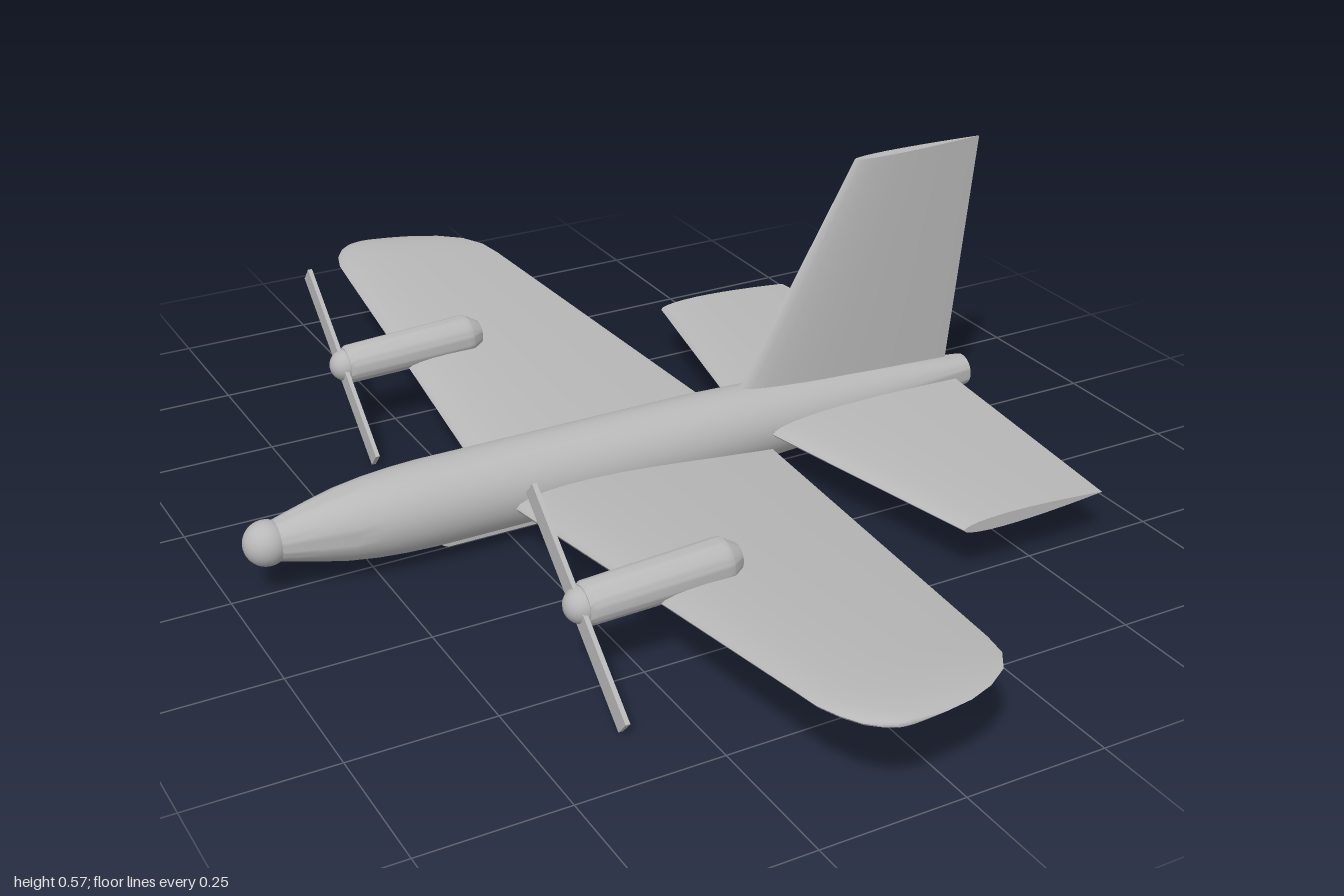
import * as THREE from 'three';
import { toCreasedNormals } from 'three/addons/utils/BufferGeometryUtils.js';

const grey = new THREE.MeshStandardMaterial({ color: 0xb8b8b8 });
grey.name = 'plain grey';

function part(geometry, name) {
  const mesh = new THREE.Mesh(geometry, grey);
  mesh.name = name;
  return mesh;
}

// Turned body along +x from [x, radius] pairs
function turned(points) {
  const geo = new THREE.LatheGeometry(points.map(([x, r]) => new THREE.Vector2(r, x)), 40);
  return toCreasedNormals(geo.rotateZ(-Math.PI / 2), 0.5);
}

// Aerofoil surface lofted along z; sections are [span, xLead, xTrail, yLead, yTrail, thickness]
function aerofoil(sections, side = 1) {
  const half = 14, ring = half * 2, pos = [], idx = [];
  const tri = (a, b, c) => (side > 0 ? idx.push(a, b, c) : idx.push(a, c, b));
  for (const [s, x0, x1, y0, y1, thick] of sections) {
    for (let j = 0; j < ring; j++) {
      const a = (j / half) * Math.PI;
      const u = (1 + Math.cos(a)) / 2;
      const t = 5 * (0.2969 * Math.sqrt(u) - 0.126 * u - 0.3516 * u * u + 0.2843 * u ** 3 - 0.1036 * u ** 4);
      pos.push(x0 + (x1 - x0) * u, y0 + (y1 - y0) * u + (j < half ? 1 : -1) * t * thick, s * side);
    }
  }
  for (let i = 0; i < sections.length - 1; i++) {
    for (let j = 0; j < ring; j++) {
      const k = (j + 1) % ring, a = i * ring, b = a + ring;
      tri(a + j, a + k, b + j);
      tri(a + k, b + k, b + j);
    }
  }
  // Flat cap at the tip
  const last = (sections.length - 1) * ring;
  for (let j = 1; j < ring - 1; j++) tri(last, last + j, last + j + 1);
  const geo = new THREE.BufferGeometry();
  geo.setAttribute('position', new THREE.Float32BufferAttribute(pos, 3));
  geo.setIndex(idx);
  return toCreasedNormals(geo, 0.9);
}

function createEngine(side) {
  const engine = new THREE.Group();
  engine.name = side > 0 ? 'leftEngine' : 'rightEngine';
  engine.position.set(-0.35, 0.148, side * 0.484);

  // Nacelle with a tapered rear end
  const nacelle = part(turned([
    [0, 0], [0, 0.032], [0.008, 0.036], [0.24, 0.039], [0.25, 0.038], [0.274, 0.022], [0.274, 0],
  ]), 'nacelle');
  nacelle.rotation.z = 0.035;
  engine.add(nacelle);

  const hub = part(new THREE.SphereGeometry(0.03, 24, 16), 'propellerHub');
  engine.add(hub);

  // Two-bladed propeller
  const blades = part(new THREE.BoxGeometry(0.008, 0.035, 0.4), 'propeller');
  blades.position.x = -0.008;
  blades.rotation.x = 0.71;
  engine.add(blades);
  return engine;
}

export function createModel() {
  const model = new THREE.Group();
  model.name = 'aeroplane';

  // Fuselage and nose ball
  const fuselage = part(turned([
    [-0.67, 0], [-0.67, 0.034], [-0.64, 0.042], [-0.6, 0.052], [-0.55, 0.063], [-0.5, 0.07],
    [-0.45, 0.074], [-0.4, 0.076], [0, 0.076], [0.12, 0.076], [0.22, 0.073], [0.32, 0.068],
    [0.45, 0.058], [0.58, 0.045], [0.717, 0.03], [0.717, 0],
  ]), 'fuselage');
  fuselage.position.y = 0.101;
  const nose = part(new THREE.SphereGeometry(0.039, 32, 20), 'noseBall');
  nose.position.set(-0.683, 0.101, 0);
  model.add(fuselage, nose);

  // Wings with dihedral and rounded tips
  const wing = [
    [0, -0.271, 0.262, 0.083, 0.066, 0.056],
    [0.45, -0.234, 0.196, 0.125, 0.109, 0.043],
    [0.85, -0.202, 0.137, 0.161, 0.148, 0.031],
    [0.9, -0.197, 0.125, 0.164, 0.153, 0.029],
    [0.94, -0.185, 0.097, 0.167, 0.157, 0.026],
    [0.97, -0.167, 0.052, 0.167, 0.16, 0.021],
    [0.988, -0.147, 0.005, 0.167, 0.162, 0.015],
    [0.997, -0.128, -0.045, 0.166, 0.164, 0.009],
    [1, -0.11, -0.085, 0.165, 0.165, 0.003],
  ];
  const tail = [
    [0, 0.233, 0.682, 0.105, 0.103, 0.036],
    [0.515, 0.345, 0.635, 0.103, 0.101, 0.024],
  ];
  for (const side of [1, -1]) {
    const label = side > 0 ? 'left' : 'right';
    model.add(part(aerofoil(wing, side), label + 'Wing'));
    model.add(part(aerofoil(tail, side), label + 'Tailplane'));
    model.add(createEngine(side));
  }

  // Upright fin
  const fin = part(aerofoil([
    [0.1, 0.176, 0.672, 0, 0, 0.038],
    [0.572, 0.448, 0.72, 0, 0, 0.022],
  ]), 'fin');
  fin.rotation.x = -Math.PI / 2;
  model.add(fin);

  // Belly skid
  const shape = new THREE.Shape([
    [-0.375, 0.04], [-0.375, 0.016], [-0.365, 0.011], [0.06, 0.011], [0.068, 0.018], [0.068, 0.04],
  ].map(([x, y]) => new THREE.Vector2(x, y)));
  const skid = part(new THREE.ExtrudeGeometry(shape, { depth: 0.02, bevelEnabled: false }), 'bellySkid');
  skid.position.z = -0.01;
  model.add(skid);

  return model;
}
